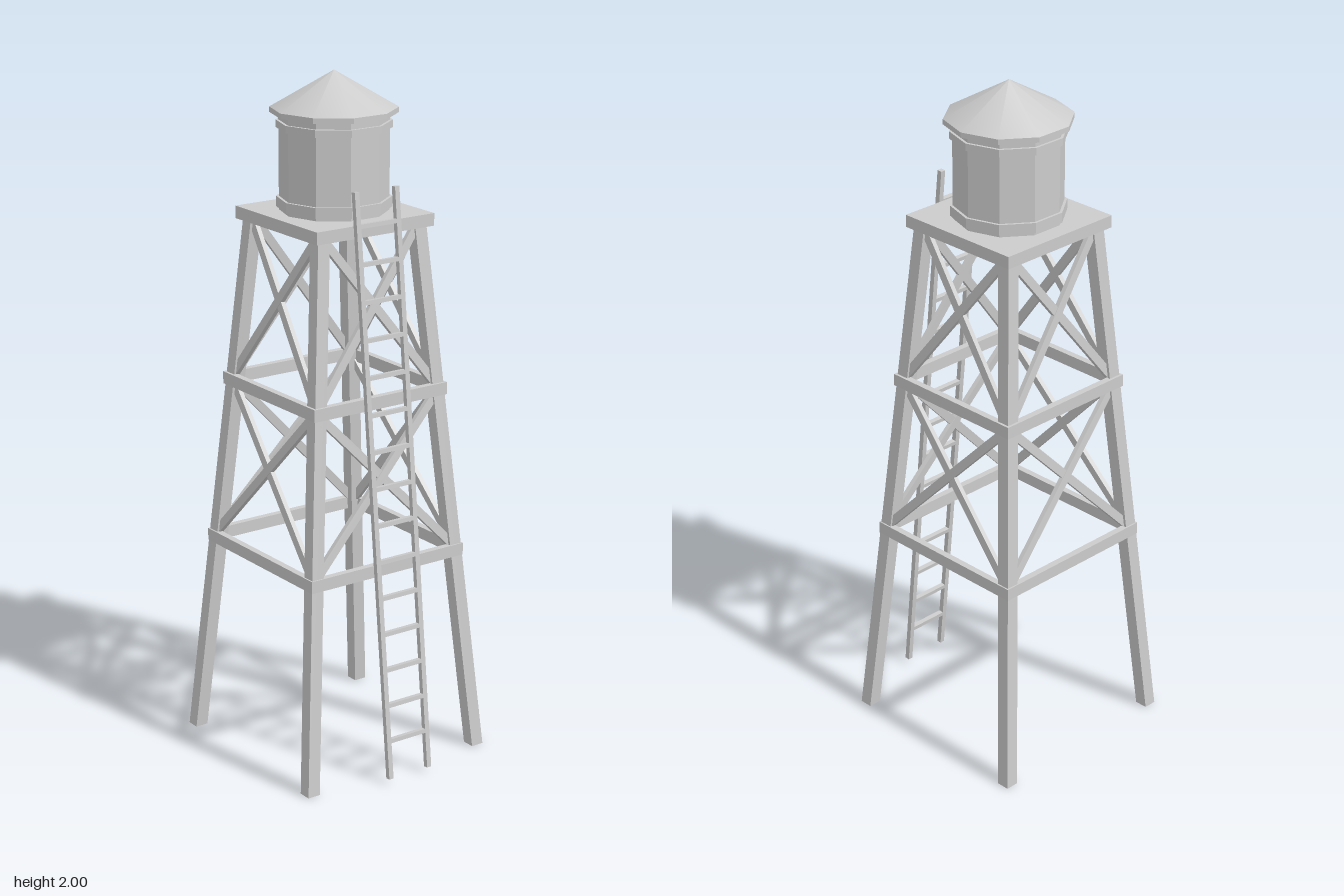
import * as THREE from 'three';

const grey = new THREE.MeshStandardMaterial({ color: 0xcccccc });
const flat = new THREE.MeshStandardMaterial({ color: 0xcccccc, flatShading: true });
const V = (x, y, z) => new THREE.Vector3(x, y, z);

function add(parent, name, geometry, x = 0, y = 0, z = 0, material = flat) {
  const mesh = new THREE.Mesh(geometry, material);
  mesh.name = name;
  mesh.position.set(x, y, z);
  parent.add(mesh);
  return mesh;
}

// Rectangular bar from a to b; its depth direction lies as near to "facing" as possible
function beam(parent, name, a, b, width, depth, facing) {
  const dir = b.clone().sub(a);
  const length = dir.length();
  dir.normalize();
  const side = dir.clone().cross(facing).normalize();
  const out = side.clone().cross(dir);
  const mid = a.clone().add(b).multiplyScalar(0.5);
  const mesh = add(parent, name, new THREE.BoxGeometry(width, length, depth), mid.x, mid.y, mid.z);
  mesh.quaternion.setFromRotationMatrix(new THREE.Matrix4().makeBasis(side, dir, out));
  return mesh;
}

// Half-width of the tower, measured to the outside of the legs
const LEG = 0.039;
const TOP = 1.58;
const outer = (y) => 0.315 - 0.083 * y;

// Leg whose ends stay level while it leans inward
function legGeometry() {
  const g = new THREE.BoxGeometry(LEG, TOP, LEG).translate(0, TOP / 2, 0);
  const p = g.attributes.position;
  for (let i = 0; i < p.count; i++) {
    const c = outer(p.getY(i)) - LEG / 2;
    p.setX(i, p.getX(i) + c);
    p.setZ(i, p.getZ(i) + c);
  }
  g.computeVertexNormals();
  return g;
}

// One side of the frame: a leg, two horizontal beams and two crossed braces
function frameSide() {
  const side = new THREE.Group();
  side.name = 'frameSide';
  add(side, 'leg', legGeometry());
  for (const [y, half] of [[0.613, 0.267], [1.098, 0.23]]) {
    add(side, 'horizontalBeam', new THREE.BoxGeometry(2 * half, 0.036, 0.02), 0, y, half - 0.01);
  }
  const facing = V(0, 0.083, 1).normalize();
  for (const [y0, y1] of [[0.625, 1.09], [1.11, 1.58]]) {
    for (const s of [-1, 1]) {
      const corner = (y, sx) => V(sx * (outer(y) - LEG / 2), y, outer(y) - 0.014 + s * 0.001);
      beam(side, 'crossBrace', corner(y0, -s), corner(y1, s), 0.025, 0.014, facing);
    }
  }
  return side;
}

function buildTank() {
  const tank = new THREE.Group();
  tank.name = 'tank';
  const drum = (name, r, y0, y1) =>
    add(tank, name, new THREE.CylinderGeometry(r, r, y1 - y0, 10), 0, (y0 + y1) / 2, 0);
  drum('tankBody', 0.155, 1.6, 1.89);
  drum('lowerBand', 0.163, 1.615, 1.645);
  drum('upperBand', 0.163, 1.84, 1.861);
  drum('roofRim', 0.18, 1.882, 1.897);
  // Smoothly shaded conical roof on a ten-sided rim
  add(tank, 'roof', new THREE.ConeGeometry(0.18, 0.103, 10, 1, true), 0, 1.9485, 0, grey);
  return tank;
}

function buildLadder() {
  const ladder = new THREE.Group();
  ladder.name = 'ladder';
  const foot = V(0.337, 0.016, 0), head = V(0.163, 1.7, 0);
  for (const z of [-0.068, 0.068]) {
    const shift = V(0, 0, z);
    beam(ladder, 'ladderRail', foot.clone().add(shift), head.clone().add(shift), 0.015, 0.015, V(0, 0, 1));
  }
  const slope = V(1, (head.x - foot.x) / (foot.y - head.y), 0);
  for (let i = 0; i < 15; i++) {
    const y = 0.128 + i * 0.1055;
    const p = foot.clone().lerp(head, (y - foot.y) / (head.y - foot.y));
    beam(ladder, 'ladderRung', V(p.x, y, -0.065), V(p.x, y, 0.065), 0.012, 0.015, slope);
  }
  ladder.position.z = 0.002;
  return ladder;
}

export function createModel() {
  const model = new THREE.Group();
  model.name = 'waterTower';

  const tower = new THREE.Group();
  tower.name = 'tower';
  tower.position.x = -0.035;
  for (let i = 0; i < 4; i++) {
    const side = frameSide();
    side.rotation.y = i * Math.PI / 2;
    tower.add(side);
  }
  add(tower, 'platform', new THREE.BoxGeometry(0.4, 0.036, 0.4), 0, 1.588, 0);
  tower.add(buildTank());

  model.add(tower, buildLadder());
  return model;
}
